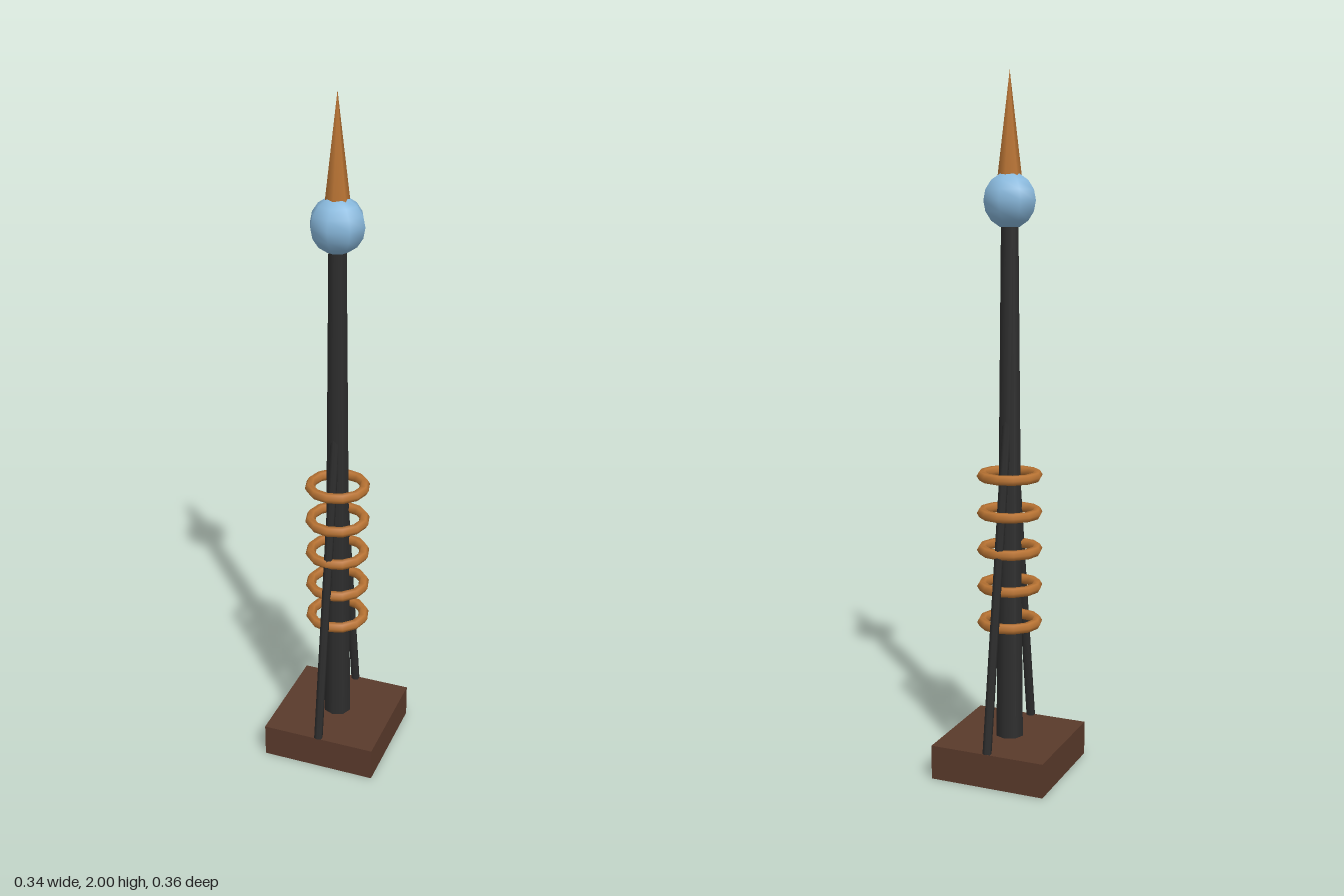
import * as THREE from 'three';

const material = (name, color) => {
  const m = new THREE.MeshStandardMaterial({ color });
  m.name = name;
  return m;
};

export function createModel() {
  const group = new THREE.Group();
  const wood = material('brown wood', 0x5a3a2b);
  const iron = material('dark iron', 0x2d2d2d);
  const copper = material('copper', 0xb87333);
  const glass = material('pale blue', 0x88b8dc);

  const add = (name, geometry, mat, y = 0) => {
    const mesh = new THREE.Mesh(geometry, mat);
    mesh.name = name;
    mesh.position.y = y;
    group.add(mesh);
    return mesh;
  };

  // Square plinth and tapering mast
  add('base', new THREE.BoxGeometry(0.344, 0.1, 0.344), wood, 0.05);
  add('mast', new THREE.CylinderGeometry(0.026, 0.042, 1.5, 8), iron, 0.85);

  // Coil rings around the mast
  for (let i = 0; i < 5; i++) {
    const ring = new THREE.TorusGeometry(0.08, 0.015, 6, 12).rotateX(Math.PI / 2);
    add('coilRing', ring, copper, 0.445 + i * 0.108);
  }

  // Leaning struts, front and back
  for (const side of [1, -1]) {
    const foot = new THREE.Vector3(0, 0.1, 0.165 * side);
    const head = new THREE.Vector3(0, 1.06, 0.015 * side);
    const axis = head.clone().sub(foot);
    const strut = add(side > 0 ? 'frontStrut' : 'backStrut',
      new THREE.CylinderGeometry(0.013, 0.013, axis.length(), 6), iron);
    strut.position.copy(foot).add(head).multiplyScalar(0.5);
    strut.quaternion.setFromUnitVectors(new THREE.Vector3(0, 1, 0), axis.normalize());
  }

  // Orb and pointed finial
  add('orb', new THREE.SphereGeometry(0.078, 8, 8), glass, 1.65);
  add('spike', new THREE.ConeGeometry(0.034, 0.286, 6), copper, 1.857);

  return group;
}
